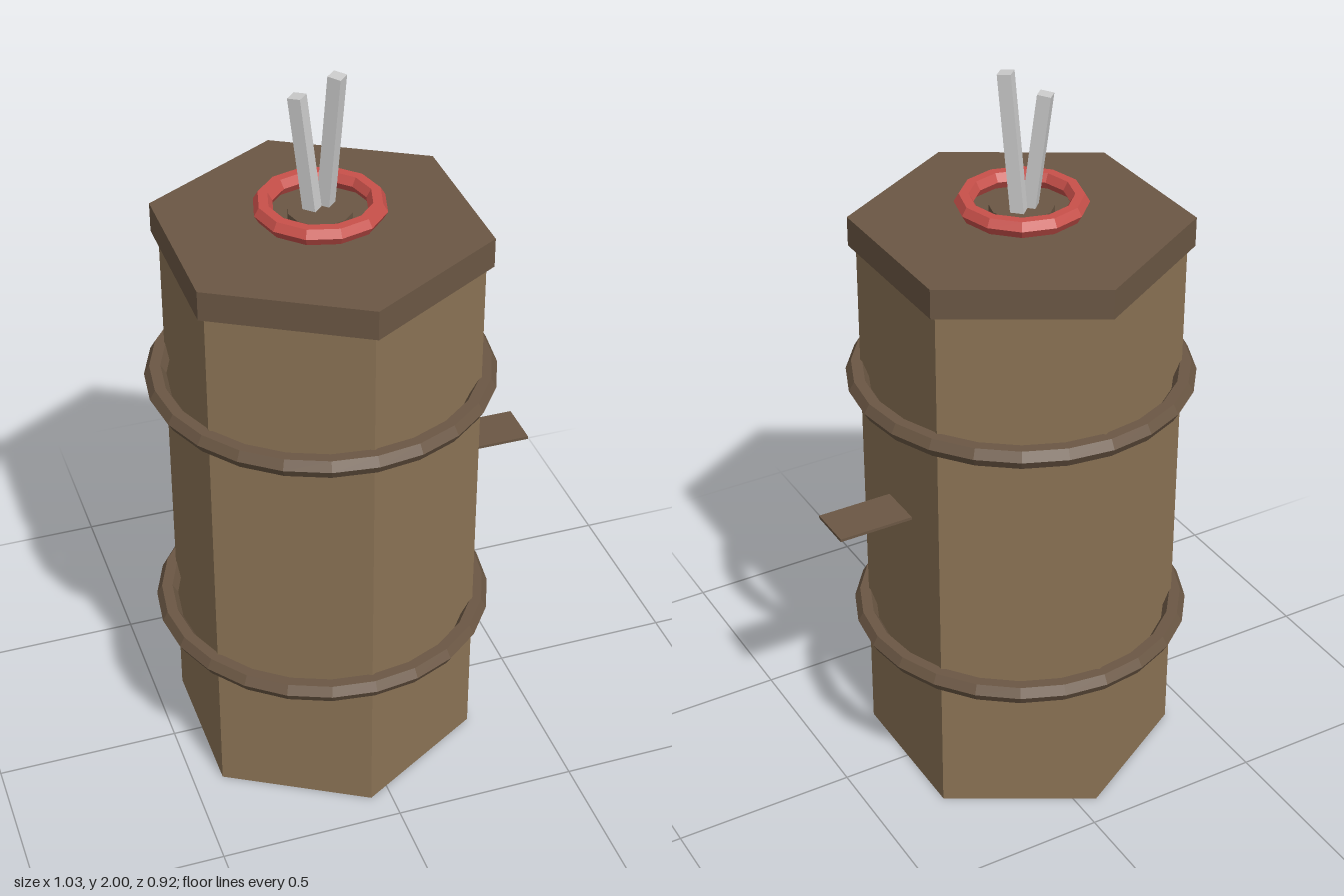
import * as THREE from 'three';

const AXIS_X = -0.055; // barrel axis, offset by the side tab

const paint = (color) => new THREE.MeshStandardMaterial({ color, flatShading: true });
const bodyBrown = paint(0x8b7355);
const darkBrown = paint(0x6b5744);
const red = paint(0xc8504a);
const grey = paint(0xcccccc);

export function createModel() {
  const model = new THREE.Group();
  model.name = 'barrel';

  const add = (name, geometry, material, x, y, z = 0) => {
    const mesh = new THREE.Mesh(geometry, material);
    mesh.name = name;
    mesh.position.set(x, y, z);
    model.add(mesh);
    return mesh;
  };

  // Upright prism standing from y0 to y1
  const prism = (name, radius, sides, y0, y1, material) =>
    add(name, new THREE.CylinderGeometry(radius, radius, y1 - y0, sides), material, AXIS_X, (y0 + y1) / 2);

  // Horizontal ring with a hexagonal section
  const ring = (name, radius, tube, segments, y, material) => {
    const geometry = new THREE.TorusGeometry(radius, tube, 6, segments).rotateX(Math.PI / 2);
    return add(name, geometry, material, AXIS_X, y);
  };

  // Square stick running between two points
  const stick = (name, from, to) => {
    const a = new THREE.Vector3(...from);
    const b = new THREE.Vector3(...to);
    const dir = b.clone().sub(a);
    const mid = a.clone().add(b).multiplyScalar(0.5);
    const mesh = add(name, new THREE.CylinderGeometry(0.025, 0.025, dir.length(), 4), grey, mid.x, mid.y, mid.z);
    mesh.quaternion.setFromUnitVectors(new THREE.Vector3(0, 1, 0), dir.normalize());
  };

  // Hexagonal body and overhanging lid
  prism('body', 0.42, 6, 0, 1.52, bodyBrown);
  prism('lid', 0.44, 6, 1.52, 1.6, darkBrown);

  // Hoops around the body
  ring('lowerHoop', 0.43, 0.029, 24, 0.425, darkBrown);
  ring('upperHoop', 0.43, 0.029, 24, 1.16, darkBrown);

  // Neck and red collar on the lid
  prism('neck', 0.083, 12, 1.6, 1.635, darkBrown);
  ring('collar', 0.146, 0.025, 12, 1.645, red);

  // Two sticks poking out of the neck
  stick('shortStick', [-0.07, 1.61, -0.01], [-0.102, 1.938, -0.032]);
  stick('longStick', [-0.034, 1.61, -0.025], [-0.013, 1.998, 0.009]);

  // Flat tab on the left side
  add('sideTab', new THREE.BoxGeometry(0.235, 0.008, 0.126), darkBrown, 0.3975, 0.845);

  return model;
}
